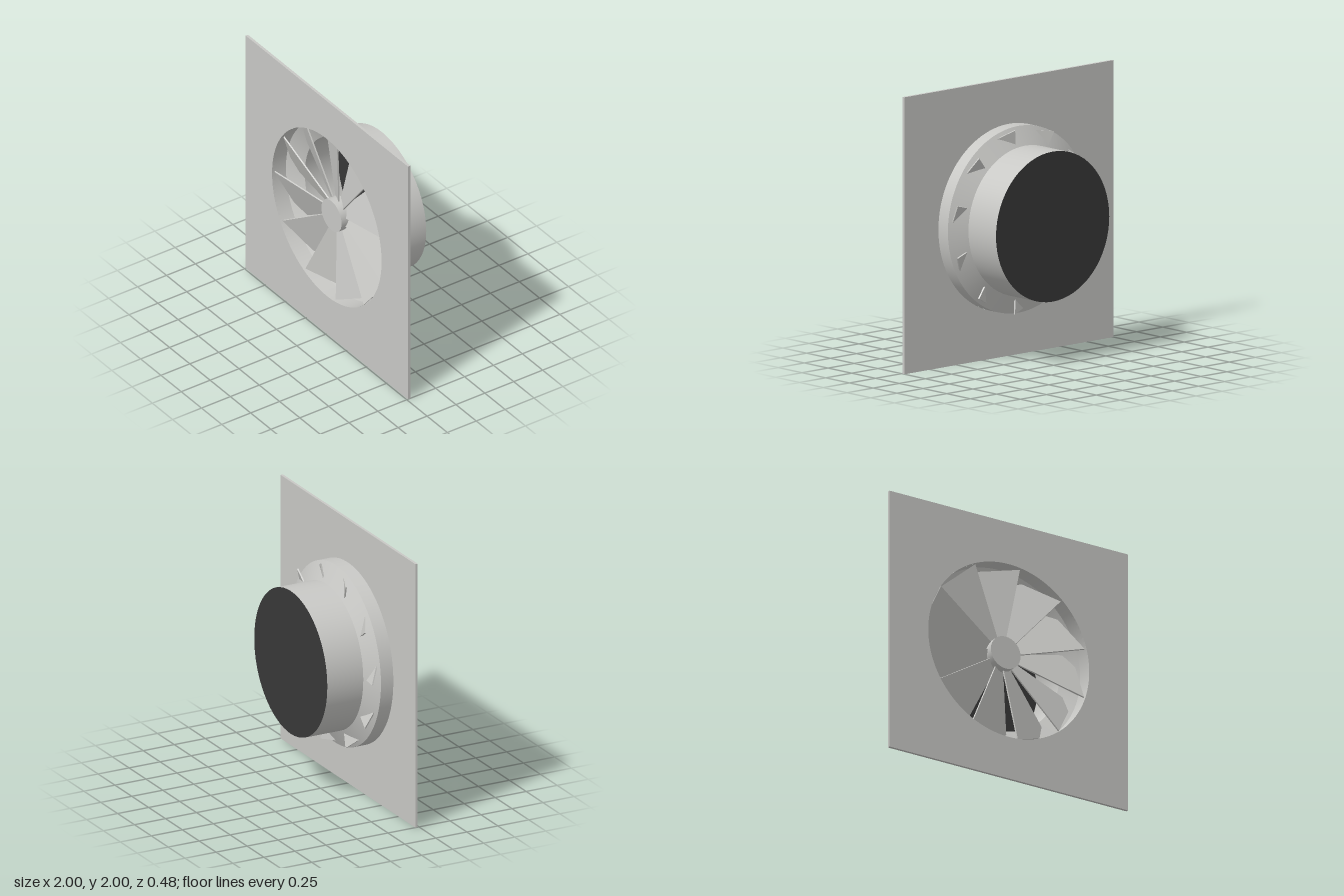
import * as THREE from 'three';

export function createModel() {
  const root = new THREE.Group();
  root.name = 'swirlDiffuser';
  const metal = new THREE.MeshStandardMaterial({ name: 'paintedMetal', color: 0xc8c8c5, side: THREE.DoubleSide });
  const dark = new THREE.MeshStandardMaterial({ name: 'darkOpening', color: 0x383838, side: THREE.DoubleSide });

  const add = (parent, name, geometry, material) => {
    const mesh = new THREE.Mesh(geometry, material);
    mesh.name = name;
    parent.add(mesh);
    return mesh;
  };

  // Everything is arranged around the z axis at y = 1
  const body = new THREE.Group();
  body.name = 'diffuserBody';
  body.position.y = 1;
  root.add(body);

  // Square face plate with a round opening
  const plate = new THREE.Shape([[-1, -1], [1, -1], [1, 1], [-1, 1]].map(([x, y]) => new THREE.Vector2(x, y)));
  plate.holes.push(new THREE.Path().absarc(0, 0, 0.675, 0, Math.PI * 2, true));
  add(body, 'facePlate', new THREE.ExtrudeGeometry(plate, { depth: 0.02, bevelEnabled: false, curveSegments: 64 }), metal)
    .position.z = 0.22;

  // Collar, cone and neck: [name, front radius, back radius, front z, back z]
  const sections = [
    ['collar', 0.675, 0.675, 0.222, 0.12],
    ['coneReducer', 0.675, 0.542, 0.12, 0.05],
    ['ductNeck', 0.542, 0.542, 0.05, -0.24],
  ];
  for (const [name, front, back, z0, z1] of sections) {
    const tube = new THREE.CylinderGeometry(front, back, z0 - z1, 64, 1, true).rotateX(Math.PI / 2);
    add(body, name, tube, metal).position.z = (z0 + z1) / 2;
  }

  // Dark disc closing the rear of the neck
  add(body, 'ductOpening', new THREE.CircleGeometry(0.542, 64), dark).position.z = -0.24;

  // Central hub
  add(body, 'hub', new THREE.CylinderGeometry(0.125, 0.125, 0.09, 32).rotateX(Math.PI / 2), metal).position.z = 0.155;

  // Tilted blades, whose rear corners poke through the cone
  const outline = new THREE.Shape([[-0.048, 0.115], [0.048, 0.115], [0.212, 0.642], [-0.212, 0.642]]
    .map(([x, y]) => new THREE.Vector2(x, y)));
  const bladeGeometry = new THREE.ExtrudeGeometry(outline, { depth: 0.01, bevelEnabled: false })
    .translate(0, 0, -0.005)
    .rotateY(-THREE.MathUtils.degToRad(23));
  const blades = new THREE.Group();
  blades.name = 'blades';
  blades.position.z = 0.137;
  body.add(blades);
  const count = 11;
  for (let i = 0; i < count; i++) {
    add(blades, 'blade' + (i + 1), bladeGeometry, metal).rotation.z =
      THREE.MathUtils.degToRad(7.8) - (i * Math.PI * 2) / count;
  }

  return root;
}
